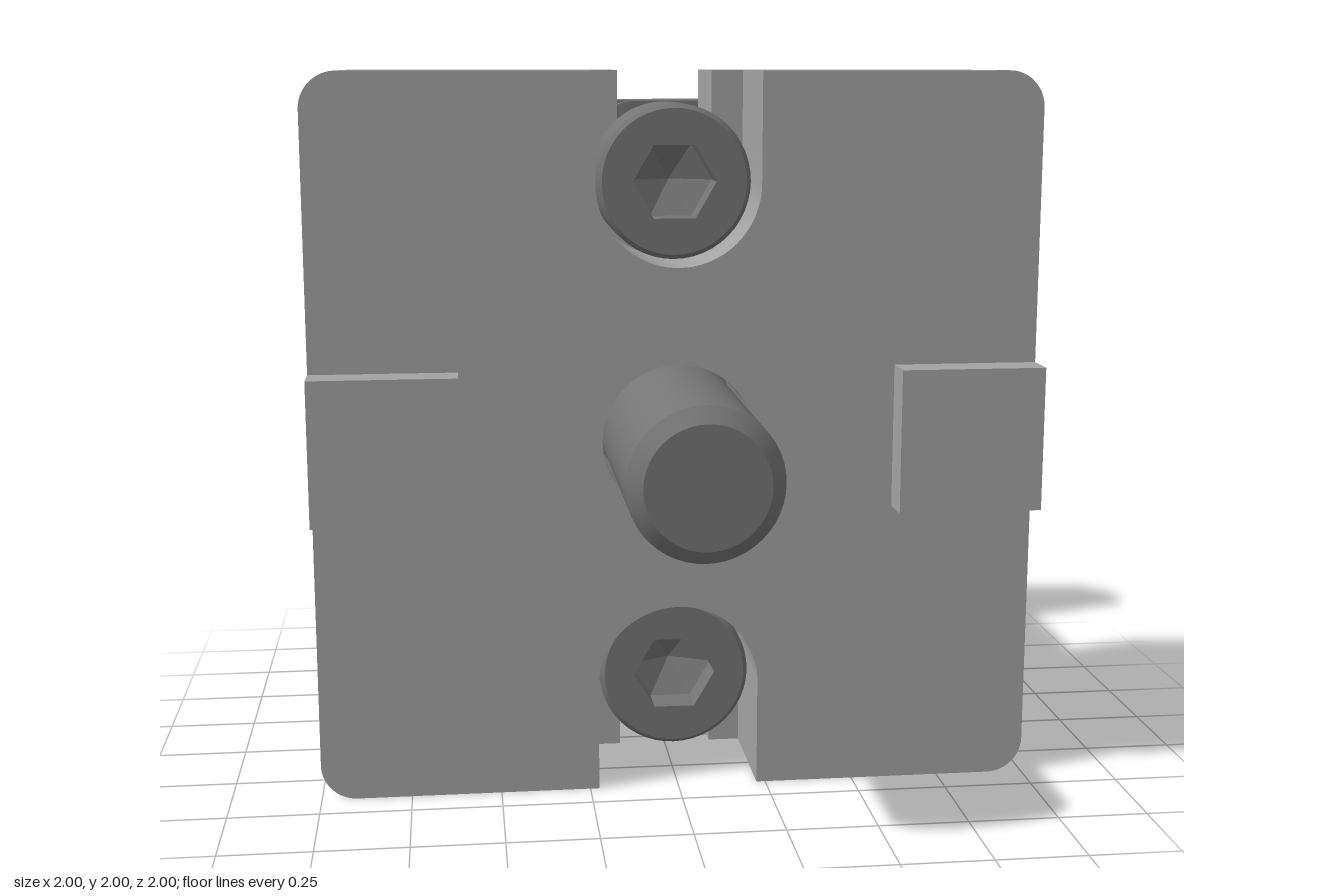
import * as THREE from 'three';
import { toCreasedNormals } from 'three/addons/utils/BufferGeometryUtils.js';

const mat = (name, color, side = THREE.FrontSide) => {
  const m = new THREE.MeshStandardMaterial({ color, side });
  m.name = name;
  return m;
};

function part(name, geometry, material) {
  const m = new THREE.Mesh(toCreasedNormals(geometry, 0.5), material);
  m.name = name;
  return m;
}

const circle = (r) => new THREE.Path().absarc(0, 0, r, 0, Math.PI * 2, true);

function extrude(shape, z0, z1) {
  const g = new THREE.ExtrudeGeometry(shape, { depth: z1 - z0, bevelEnabled: false, curveSegments: 32 });
  return g.translate(0, 0, z0);
}

// Rounded square with a round-ended slot at top and bottom, centred on the origin
function plateShape(slot, hole) {
  const s = new THREE.Shape(), r = 0.1, k = 0.7;
  s.moveTo(slot, -1);
  s.lineTo(1 - r, -1);
  s.absarc(1 - r, -1 + r, r, -Math.PI / 2, 0, false);
  s.lineTo(1, 1 - r);
  s.absarc(1 - r, 1 - r, r, 0, Math.PI / 2, false);
  s.lineTo(slot, 1);
  s.absarc(0, k, slot, 0, -Math.PI, true);
  s.lineTo(-slot, 1);
  s.lineTo(-1 + r, 1);
  s.absarc(-1 + r, 1 - r, r, Math.PI / 2, Math.PI, false);
  s.lineTo(-1, -1 + r);
  s.absarc(-1 + r, -1 + r, r, Math.PI, Math.PI * 1.5, false);
  s.lineTo(-slot, -1);
  s.absarc(0, -k, slot, Math.PI, 0, true);
  s.closePath();
  s.holes.push(circle(hole));
  return s;
}

// Lathe whose axis points along +z
function latheZ(points, segments, start = 0) {
  return new THREE.LatheGeometry(points.map(([r, h]) => new THREE.Vector2(r, h)), segments, start)
    .rotateX(Math.PI / 2);
}

// Flat ring face with a hexagonal recess ending in a shallow pyramid
function hexSocket(faceR, hexR, z, depth, material) {
  const g = new THREE.Group();
  g.name = 'hexSocket';
  const face = new THREE.Shape().absarc(0, 0, faceR, 0, Math.PI * 2, false);
  const hex = [];
  for (let i = 0; i < 6; i++) {
    hex.push(new THREE.Vector2(hexR * Math.cos(i * Math.PI / 3), hexR * Math.sin(i * Math.PI / 3)));
  }
  face.holes.push(new THREE.Path(hex));
  g.add(part('headFace', new THREE.ShapeGeometry(face, 24).translate(0, 0, z), material));
  const recess = latheZ([[hexR, z], [hexR, z - depth], [0, z - depth - hexR * 0.5]], 6, Math.PI / 2);
  g.add(part('socketRecess', recess, material));
  return g;
}

// Slot nut: two opposite corners rounded, ends chamfered at the back
function slotNut(material) {
  const g = new THREE.Group();
  g.name = 'slotNut';
  const h = 0.2, w = 0.39, c = 0.28;

  const neck = new THREE.Shape();
  neck.moveTo(h, h);
  neck.lineTo(0, h);
  neck.absarc(0, 0, h, Math.PI / 2, Math.PI, false);
  neck.lineTo(-h, -h);
  neck.lineTo(0, -h);
  neck.absarc(0, 0, h, -Math.PI / 2, 0, false);
  neck.closePath();
  neck.holes.push(circle(0.11));
  g.add(part('nutNeck', extrude(neck, -0.75, -0.68), material));

  const body = new THREE.Shape();
  body.moveTo(-c, -h);
  body.lineTo(c, -h);
  body.lineTo(c, h);
  body.lineTo(-c, h);
  body.closePath();
  body.holes.push(circle(0.11));
  g.add(part('nutBody', extrude(body, -1, -0.75), material));

  const end = new THREE.Shape();
  end.moveTo(c, h);
  end.lineTo(c, -h);
  end.absarc(0, 0, w, -Math.asin(h / w), 0, false);
  end.lineTo(w, h);
  end.closePath();
  const geo = extrude(end, -1, -0.75), p = geo.attributes.position;
  for (let i = 0; i < p.count; i++) {
    if (p.getZ(i) < -0.9) p.setZ(i, -1 + 0.12 * (p.getX(i) - c) / (w - c));
  }
  for (const turn of [0, Math.PI]) {
    g.add(part('nutEnd', geo.clone().rotateZ(turn), material));
  }
  return g;
}

export function createModel() {
  const model = new THREE.Group();
  model.name = 'slotConnector';
  const cast = mat('castGrey', 0xa3a3a3);
  const dark = mat('darkSteel', 0x757575, THREE.DoubleSide);
  const bright = mat('brightSteel', 0xd9d9d9);

  // Block in three layers: rear bore, web, front counterbored slots
  const block = new THREE.Group();
  block.name = 'block';
  block.position.y = 1;
  block.add(
    part('blockRear', extrude(plateShape(0.135, 0.375), -0.25, 0), cast),
    part('blockWeb', extrude(plateShape(0.135, 0.21), 0, 0.05), cast),
    part('blockFront', extrude(plateShape(0.225, 0.21), 0.05, 0.4), cast),
  );
  for (const side of [-1, 1]) {
    const tab = part('locatingTab', new THREE.BoxGeometry(0.4, 0.4, 0.1), cast);
    tab.position.set(side * 0.8, 0, 0.45);
    block.add(tab);
  }
  model.add(block);

  // Central button-head bolt, head at the back
  const centre = new THREE.Group();
  centre.name = 'centreBolt';
  centre.add(part('boltBody', latheZ([
    [0, -1], [0.16, -1], [0.2, -0.96], [0.2, 0], [0.35, 0], [0.35, 0.03],
    [0.336, 0.09], [0.3, 0.15], [0.235, 0.22],
  ], 48), dark));
  centre.add(hexSocket(0.235, 0.144, 0.22, 0.1, dark));
  centre.rotation.set(0, Math.PI, Math.PI / 6);
  centre.position.y = 1;
  model.add(centre);

  // Upper and lower cap bolts with their slot nuts
  for (const y of [0.3, 1.7]) {
    const set = new THREE.Group();
    set.name = y > 1 ? 'upperFastener' : 'lowerFastener';
    set.position.y = y;
    const bolt = new THREE.Group();
    bolt.name = 'capBolt';
    bolt.position.z = 0.05;
    const head = latheZ([[0, 0], [0.2125, 0], [0.2125, 0.235], [0.2, 0.25]], 48);
    bolt.add(part('boltHead', head, dark), hexSocket(0.2, 0.1155, 0.25, 0.1, dark));
    const shank = new THREE.CylinderGeometry(0.125, 0.125, 0.8, 40).rotateX(Math.PI / 2).translate(0, 0, -0.4);
    bolt.add(part('boltShank', shank, bright));
    set.add(bolt, slotNut(dark));
    model.add(set);
  }
  return model;
}
